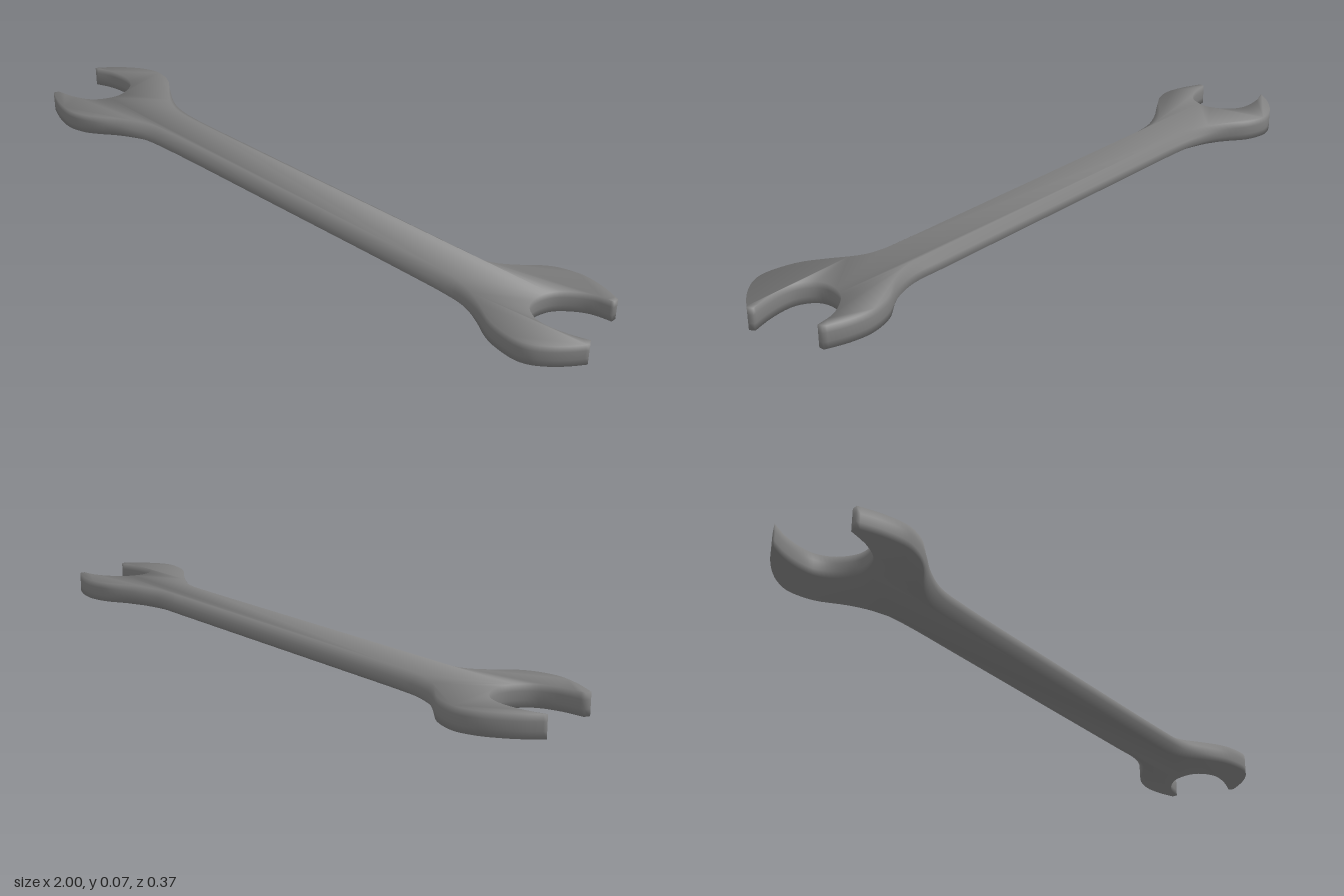
import * as THREE from 'three';

// Outline runs as [x, z]; each run is one smooth curve, and runs meet at the jaw tips.
const backEdge = [
  [-1, -0.062], [-0.965, -0.105], [-0.92, -0.145], [-0.875, -0.172], [-0.825, -0.184], [-0.76, -0.167],
  [-0.69, -0.122], [-0.64, -0.098], [-0.575, -0.085], [-0.48, -0.08], [-0.34, -0.08], [-0.12, -0.08],
  [0.12, -0.08], [0.34, -0.08], [0.5, -0.08], [0.6, -0.081], [0.675, -0.107], [0.75, -0.151],
  [0.82, -0.17], [0.885, -0.163], [0.945, -0.142],
];
const rightMouth = [
  [0.945, -0.126], [0.895, -0.117], [0.853, -0.094], [0.815, -0.056], [0.80, -0.007],
  [0.81, 0.035], [0.845, 0.062], [0.885, 0.068], [0.94, 0.06], [0.992, 0.044],
];
const frontEdge = [
  [1, 0.058], [0.97, 0.098], [0.935, 0.133], [0.895, 0.158], [0.85, 0.164], [0.78, 0.149], [0.715, 0.115],
  [0.645, 0.089], [0.58, 0.081], [0.48, 0.079], [0.34, 0.078], [0.12, 0.078], [-0.12, 0.078],
  [-0.34, 0.078], [-0.48, 0.08], [-0.575, 0.087], [-0.655, 0.116], [-0.72, 0.154], [-0.775, 0.177],
  [-0.825, 0.184], [-0.89, 0.169], [-0.95, 0.143],
];
const leftMouth = [
  [-0.945, 0.127], [-0.88, 0.115], [-0.825, 0.087], [-0.795, 0.04], [-0.79, -0.002],
  [-0.81, -0.05], [-0.848, -0.08], [-0.895, -0.087], [-0.95, -0.08], [-1, -0.062],
];

// Closed outline whose Vector2 holds (x, z).
function outline() {
  const shape = new THREE.Shape();
  [backEdge, rightMouth, frontEdge, leftMouth].forEach((run, i) => {
    const pts = run.map(([x, z]) => new THREE.Vector2(x, z));
    if (i === 0) shape.moveTo(pts[0].x, pts[0].y);
    else shape.lineTo(pts[0].x, pts[0].y);
    shape.splineThru(pts.slice(1));
  });
  const pts = shape.getPoints(4);
  if (pts[0].distanceTo(pts[pts.length - 1]) < 1e-5) pts.pop();
  return pts;
}

// Stacked outlines: rim, two middle layers, rim. tilt is how far each normal leans up or down,
// in radians, on the handle and on the heads.
const layers = [
  { y: 0, rim: true, handleTilt: -1.22, headTilt: -0.85 },
  { y: 0.018, rim: false, handleTilt: -0.45, headTilt: -0.1 },
  { y: 0.041, rim: false, handleTilt: 0.45, headTilt: 0.1 },
  { y: 0.059, rim: true, handleTilt: 1.22, headTilt: 0.85 },
];

function wrenchGeometry() {
  const pts = outline();
  const n = pts.length;
  const { lerp, smoothstep } = THREE.MathUtils;
  // 1 along the chamfered handle, fading to 0 on the slab-like heads
  const handleAmount = x => 1 - smoothstep(Math.abs(x), 0.55, 0.76);
  const inset = p => new THREE.Vector2(p.x, p.y * (1 - 0.35 * handleAmount(p.x)));

  const positions = [], normals = [], index = [];
  for (const layer of layers) {
    pts.forEach((p, i) => {
      const q = layer.rim ? inset(p) : p;
      const lift = 0.007 * smoothstep(Math.abs(p.x), 0.6, 0.73);
      positions.push(q.x, layer.y + lift, q.y);

      // Outward direction averaged from the two neighbouring edges
      const before = p.clone().sub(pts[(i + n - 1) % n]).normalize();
      const along = pts[(i + 1) % n].clone().sub(p).normalize().add(before).normalize();
      const tilt = lerp(layer.headTilt, layer.handleTilt, handleAmount(p.x));
      normals.push(along.y * Math.cos(tilt), Math.sin(tilt), -along.x * Math.cos(tilt));
    });
  }

  // Side walls
  for (let k = 0; k < layers.length - 1; k++) {
    for (let i = 0; i < n; i++) {
      const a = k * n + i, b = k * n + (i + 1) % n;
      index.push(a, a + n, b + n, a, b + n, b);
    }
  }

  // Bottom and top faces
  const top = (layers.length - 1) * n;
  for (const [a, b, c] of THREE.ShapeUtils.triangulateShape(pts.map(inset), [])) {
    index.push(a, b, c, top + a, top + c, top + b);
  }

  const geo = new THREE.BufferGeometry();
  geo.setAttribute('position', new THREE.Float32BufferAttribute(positions, 3));
  geo.setAttribute('normal', new THREE.Float32BufferAttribute(normals, 3));
  geo.setIndex(index);
  return geo;
}

export function createModel() {
  const group = new THREE.Group();
  group.name = 'openEndedWrench';

  const steel = new THREE.MeshStandardMaterial({ color: 0x808080 });
  steel.name = 'steel grey';

  const body = new THREE.Mesh(wrenchGeometry(), steel);
  body.name = 'handleAndJaws';
  group.add(body);
  return group;
}
